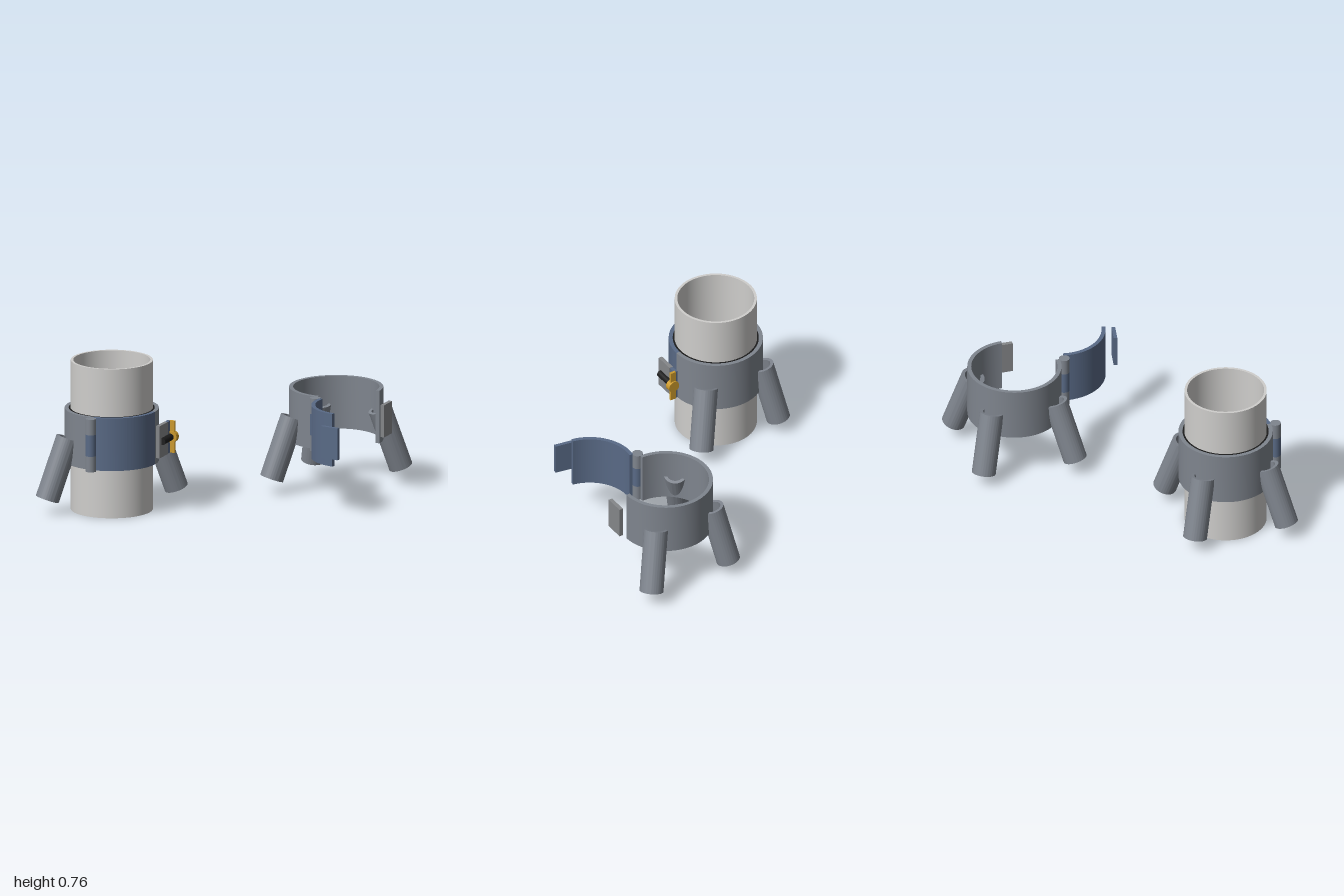
import * as THREE from 'three';
import { toCreasedNormals } from 'three/addons/utils/BufferGeometryUtils.js';

const material = (name, color) => {
  const m = new THREE.MeshStandardMaterial({ color });
  m.name = name;
  return m;
};
const TAU = Math.PI * 2, rad = THREE.MathUtils.degToRad;

// Annular wall between two angles (measured from +x towards +z), standing on y = 0
function wall(rIn, rOut, height, from = 0, to = 360) {
  const shape = new THREE.Shape();
  if (to - from >= 360) {
    shape.absarc(0, 0, rOut, 0, TAU, false);
    const hole = new THREE.Path();
    hole.absarc(0, 0, rIn, 0, TAU, true);
    shape.holes.push(hole);
  } else {
    shape.absarc(0, 0, rOut, rad(from), rad(to), false);
    shape.absarc(0, 0, rIn, rad(to), rad(from), true);
    shape.closePath();
  }
  const geo = new THREE.ExtrudeGeometry(shape, { depth: height, bevelEnabled: false, curveSegments: 48 });
  geo.rotateX(Math.PI / 2).translate(0, height, 0);
  return toCreasedNormals(geo, 0.5);
}

function add(parent, name, geo, mat, x = 0, y = 0, z = 0) {
  const mesh = new THREE.Mesh(geo, mat);
  mesh.name = name;
  mesh.position.set(x, y, z);
  parent.add(mesh);
  return mesh;
}

function addGroup(parent, name, x = 0, y = 0, z = 0) {
  const g = new THREE.Group();
  g.name = name;
  g.position.set(x, y, z);
  parent.add(g);
  return g;
}

export function createModel() {
  const steel = material('collar grey', 0x7f858e);
  const blue = material('door blue', 0x596a86);
  const plateGrey = material('flange grey', 0x85878a);
  const pipeGrey = material('pipe light grey', 0xcfcecc);
  const black = material('rubber black', 0x1c1c1c);
  const brass = material('brass', 0xcc9a2c);

  const BOTTOM = 0.25, HEIGHT = 0.27, R_IN = 0.215, R_OUT = 0.235;
  const HINGE = 0.183, MID = 0.385;

  // One clamp: collar, three sockets, hinge and a door swung by the given angle
  function clamp(parent, name, x, swing) {
    const unit = addGroup(parent, name, x, 0, -0.125);
    add(unit, 'collar', wall(R_IN, R_OUT, HEIGHT, 135, 405), steel, 0, BOTTOM, 0);

    // Splayed leg sockets: left, right and back
    for (const [turn, tilt] of [[0, 20], [180, 20], [90, 15]]) {
      const arm = addGroup(unit, 'legSocket');
      arm.rotation.y = rad(turn);
      const tube = add(arm, 'socketTube', wall(0.044, 0.06, 0.325).translate(0, -0.325, 0), steel, 0.234, 0.384, 0);
      tube.rotation.z = rad(tilt);
    }

    // Hinge knuckles fixed to the collar
    for (const y of [0.29, 0.48]) {
      add(unit, 'hingeKnuckle', new THREE.CylinderGeometry(0.027, 0.027, 0.08, 24), steel, -HINGE, y, HINGE);
    }

    // Clasp frame: local x runs along the collar, local z points outwards
    const clasp = addGroup(unit, 'clasp');
    clasp.rotation.y = Math.PI / 4;
    add(clasp, 'collarFlange', new THREE.BoxGeometry(0.1, 0.165, 0.02), plateGrey, -0.022, MID, 0.283);

    // Door pivoting on the hinge
    const door = addGroup(unit, 'door', -HINGE, 0, HINGE);
    door.rotation.y = -rad(swing);
    add(door, 'doorPanel', wall(R_IN, R_OUT, HEIGHT, 45, 135), blue, HINGE, BOTTOM, -HINGE);
    add(door, 'doorKnuckle', new THREE.CylinderGeometry(0.027, 0.027, 0.11, 24), blue, 0, MID, 0);
    const doorClasp = addGroup(door, 'doorClasp', HINGE, 0, -HINGE);
    doorClasp.rotation.y = Math.PI / 4;
    add(doorClasp, 'doorFlange', new THREE.BoxGeometry(0.098, 0.163, 0.018), blue, 0.02, MID, 0.283);
    return { unit, clasp };
  }

  const model = new THREE.Group();
  model.name = 'pipeClamps';

  // Closed clamp gripping a pipe
  const { unit, clasp } = clamp(model, 'closedClamp', -0.6, 0);
  add(unit, 'pipe', wall(0.192, 0.205, 0.765), pipeGrey);
  add(unit, 'liner', wall(0.206, 0.214, HEIGHT), black, 0, BOTTOM, 0);

  // Bolt and wing nut
  add(clasp, 'bolt', new THREE.CylinderGeometry(0.018, 0.018, 0.12, 20).rotateZ(Math.PI / 2), black, 0.007, MID, 0.297);
  const nut = addGroup(clasp, 'wingNut', 0.066, MID, 0.3);
  add(nut, 'nutHub', new THREE.CylinderGeometry(0.03, 0.03, 0.03, 24).rotateZ(Math.PI / 2), brass);
  for (const s of [1, -1]) {
    add(nut, 'nutWing', new THREE.BoxGeometry(0.014, 0.06, 0.03), brass, 0, s * 0.052, 0);
  }

  // Open clamp
  clamp(model, 'openClamp', 0.6, 100);
  return model;
}
